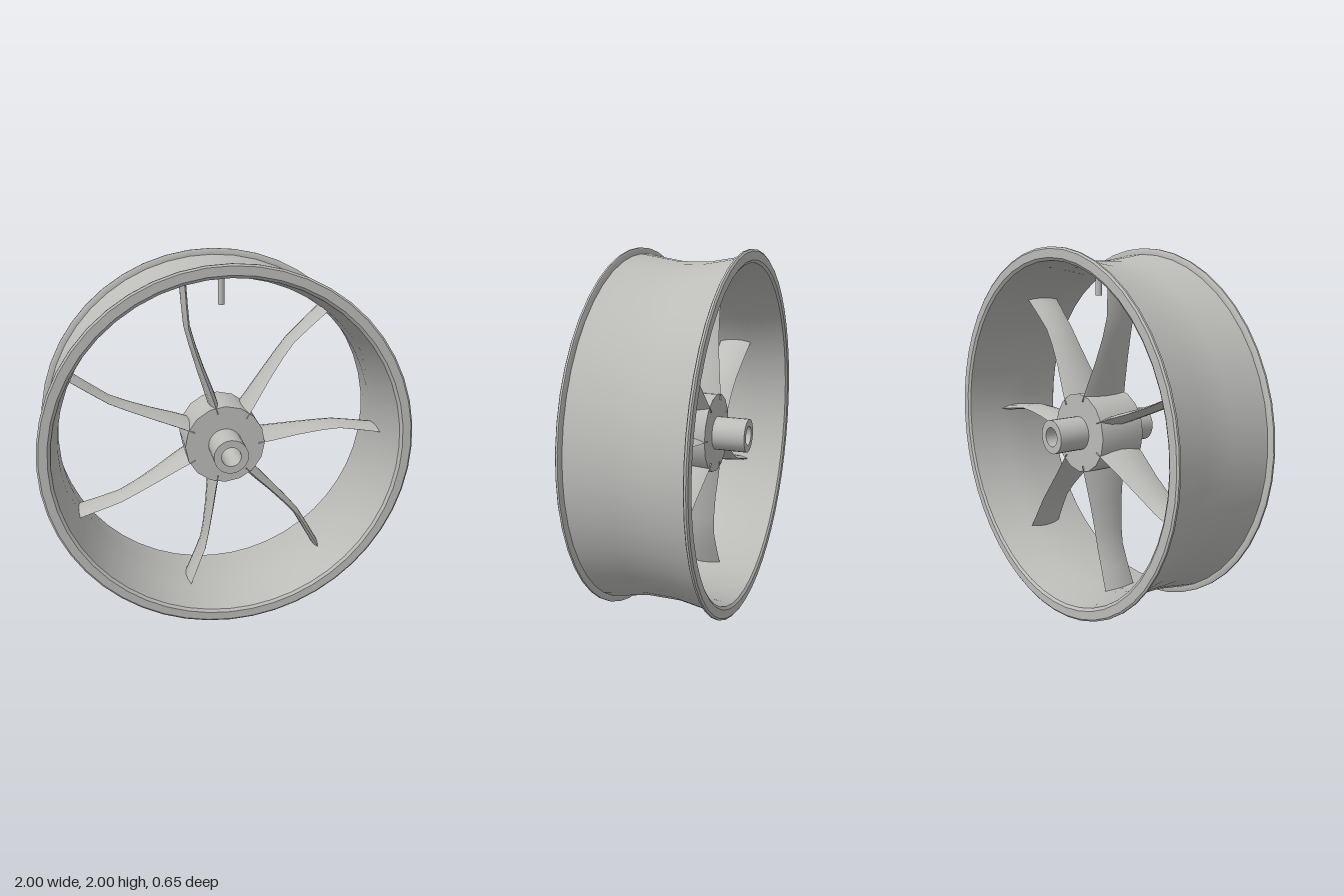
import * as THREE from 'three';
import { toCreasedNormals } from 'three/addons/utils/BufferGeometryUtils.js';

const metal = new THREE.MeshStandardMaterial({ color: 0xbcbcb9 });
metal.name = 'brushed grey';

function addMesh(parent, name, geometry) {
  const mesh = new THREE.Mesh(geometry, metal);
  mesh.name = name;
  parent.add(mesh);
  return mesh;
}

// Closed ring around the z axis from half a profile of [radius, z], outside centre to inside centre
function ring(half, segments) {
  const mirrored = half.map(([r, z]) => [r, -z]).reverse();
  const points = [...half, ...mirrored, half[0]].map(([r, z]) => new THREE.Vector2(r, z));
  const geometry = new THREE.LatheGeometry(points, segments);
  geometry.rotateX(Math.PI / 2);
  return toCreasedNormals(geometry, 0.6);
}

// Lens-section blade along +x; stations are [radius, sideways offset, half depth, half thickness]
function blade(stations, sides = 12) {
  const positions = [];
  const index = [];
  stations.forEach(([x, offset, depth, thick], i) => {
    for (let j = 0; j < sides; j++) {
      const a = (j / sides) * Math.PI * 2;
      const s = Math.sin(a);
      positions.push(x, offset + thick * s * Math.abs(s), depth * Math.cos(a));
      if (i === stations.length - 1) continue;
      const p = i * sides + j;
      const q = i * sides + ((j + 1) % sides);
      index.push(p, p + sides, q, q, p + sides, q + sides);
    }
  });
  const geometry = new THREE.BufferGeometry();
  geometry.setAttribute('position', new THREE.Float32BufferAttribute(positions, 3));
  geometry.setIndex(index);
  return toCreasedNormals(geometry, 0.45);
}

export function createModel() {
  const model = new THREE.Group();
  model.name = 'wheel';
  const wheel = new THREE.Group();
  wheel.name = 'wheelAssembly';
  wheel.position.y = 1;
  model.add(wheel);

  // Rim: dropped-centre barrel with a raised lip on each side
  addMesh(wheel, 'rim', ring([
    [0.932, 0.09], [0.967, 0.3], [0.99, 0.3], [1, 0.306], [1, 0.316],
    [0.99, 0.323], [0.945, 0.323], [0.93, 0.312], [0.9, 0.09],
  ], 48));

  // Hub drum, and the hollow axle sleeve through it
  addMesh(wheel, 'hub', ring([[0.22, 0.138], [0.08, 0.138]], 16));
  addMesh(wheel, 'axleSleeve', ring([[0.093, 0.32], [0.053, 0.32]], 24));

  // Seven kinked blade spokes
  const spokeGeometry = blade([
    [0.185, 0, 0, 0],
    [0.185, 0, 0.146, 0.027],
    [0.28, 0.008, 0.132, 0.026],
    [0.42, 0.024, 0.11, 0.021],
    [0.56, 0.036, 0.095, 0.018],
    [0.665, 0.04, 0.09, 0.017],
    [0.78, 0.024, 0.094, 0.018],
    [0.915, 0.003, 0.102, 0.018],
    [0.915, 0.003, 0, 0],
  ]);
  for (let i = 0; i < 7; i++) {
    addMesh(wheel, 'spoke' + (i + 1), spokeGeometry).rotation.z = (i / 7) * Math.PI * 2;
  }

  // Valve stem hanging inside the top of the rim
  const valve = addMesh(wheel, 'valveStem', new THREE.CylinderGeometry(0.018, 0.018, 0.175, 12));
  valve.position.y = 0.8325;

  return model;
}
